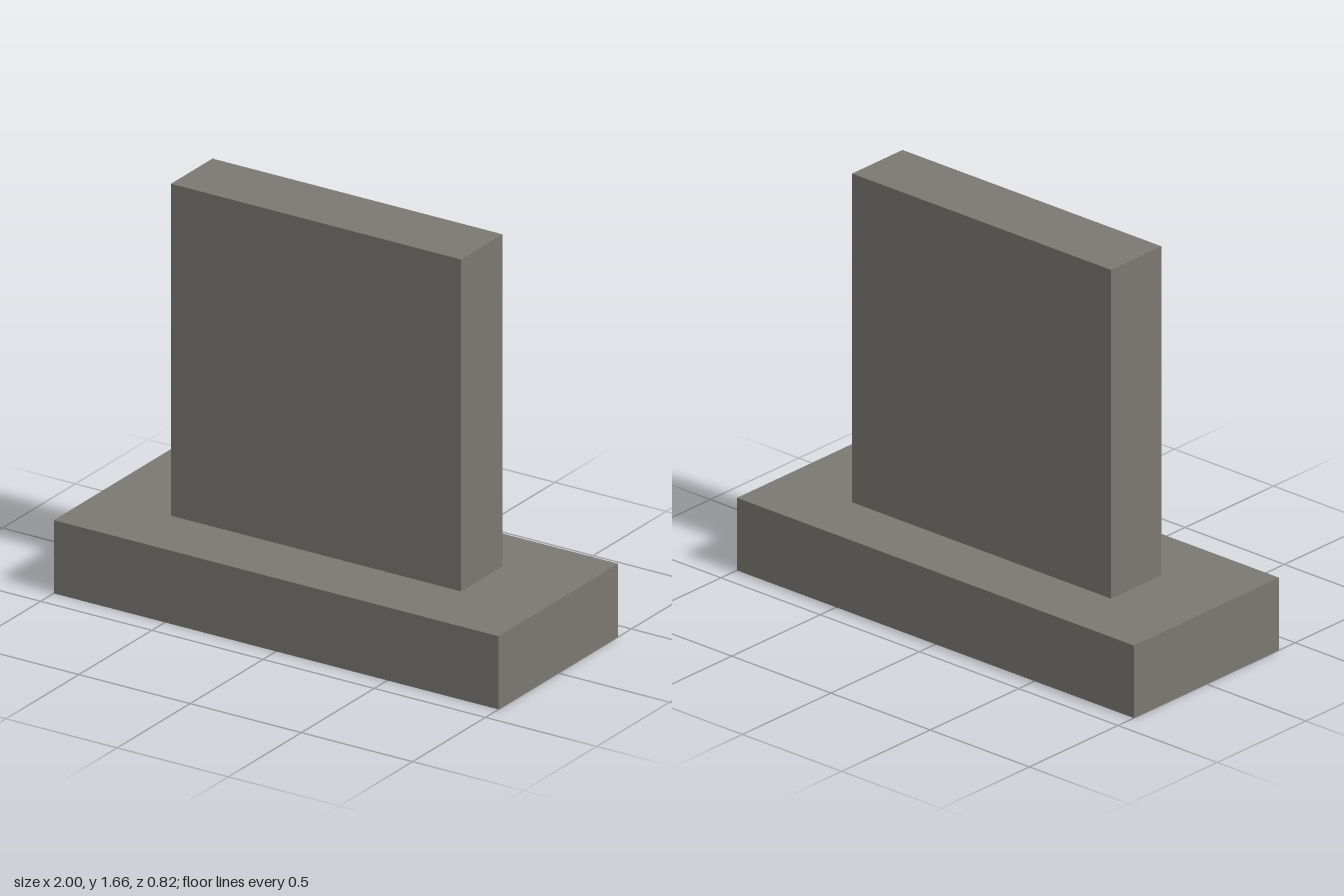
import * as THREE from 'three';

export function createModel() {
  const model = new THREE.Group();
  model.name = 'slabOnPlinth';

  const stone = new THREE.MeshStandardMaterial({ color: 0x7b7873, side: THREE.DoubleSide });
  stone.name = 'warm grey stone';

  // Box given by its lower and upper corners
  function block(name, [x0, y0, z0], [x1, y1, z1]) {
    const geometry = new THREE.BoxGeometry(x1 - x0, y1 - y0, z1 - z0);
    geometry.translate((x0 + x1) / 2, (y0 + y1) / 2, (z0 + z1) / 2);
    const mesh = new THREE.Mesh(geometry, stone);
    mesh.name = name;
    model.add(mesh);
    return mesh;
  }

  // Plinth: a hollow shell, open underneath (the box's fourth side is its bottom)
  const plinth = block('plinth', [-1, 0, -0.41], [1, 0.3, 0.41]).geometry;
  const sides = Array.from(plinth.index.array);
  sides.splice(18, 6);
  plinth.setIndex(sides);
  plinth.clearGroups();

  // Upright slab, its foot sunk through the top of the plinth
  block('uprightSlab', [-0.655, 0.19, -0.152], [0.65, 1.66, 0.133]);

  return model;
}
